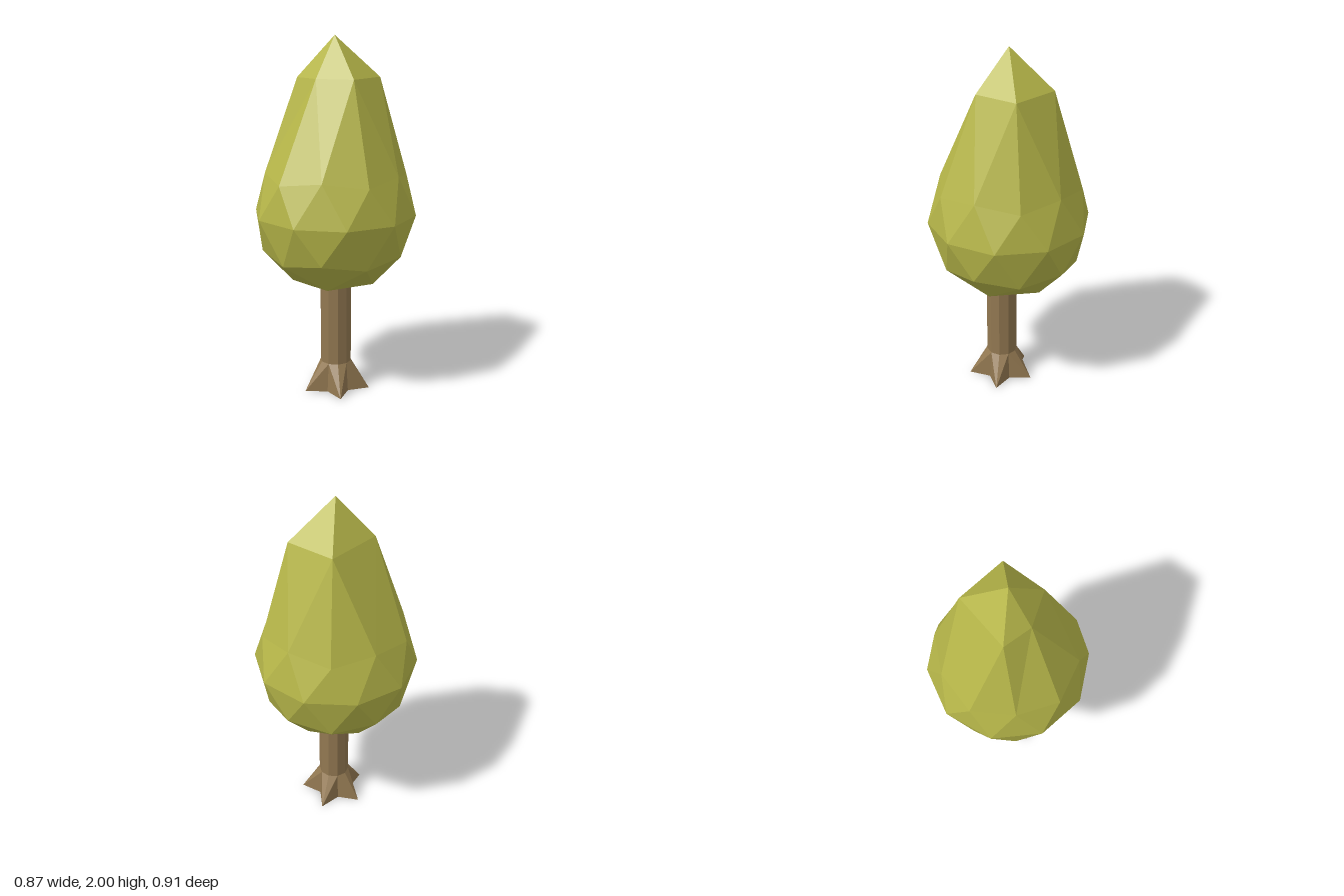
import * as THREE from 'three';

const v = (x, y, z) => new THREE.Vector3(x, y, z);
// Point on a ring around the y axis, counter-clockwise seen from above
const polar = (r, deg, y, z0 = 0) => {
  const a = THREE.MathUtils.degToRad(deg);
  return v(r * Math.cos(a), y, z0 - r * Math.sin(a));
};
const ring = (n, fn) => Array.from({ length: n }, (_, k) => fn(k));

function facetedMesh(name, triangles, color) {
  const geometry = new THREE.BufferGeometry().setFromPoints(triangles.flat());
  geometry.computeVertexNormals();
  const mesh = new THREE.Mesh(geometry, new THREE.MeshStandardMaterial({ color, flatShading: true }));
  mesh.name = name;
  return mesh;
}

// Pole cap of a subdivided icosahedron: pole, five inner points, ten rim points
function cap(pole, inner, rim, shift, flip) {
  const tris = [];
  for (let k = 0; k < 5; k++) {
    const p = inner[k], q = inner[(k + 1) % 5];
    const a = rim[(2 * k + shift) % 10], m = rim[(2 * k + 1 + shift) % 10], b = rim[(2 * k + 2 + shift) % 10];
    tris.push([pole, p, q], [p, m, q], [p, a, m], [q, m, b]);
  }
  return flip ? tris.map(([a, b, c]) => [a, c, b]) : tris;
}

// Pear-shaped crown with a slightly uneven tip
function createCrown() {
  const tip = [[0.25, 0], [0.075, -0.23], [-0.2, -0.045], [-0.115, 0.1], [0.075, 0.185]]
    .map(([x, z]) => v(x, 1.775, z));
  const upper = ring(10, k => (k % 2 ? polar(0.387, 36 * k, 1.26) : polar(0.407, 36 * k, 1.23)));
  const middle = ring(10, k => polar(0.455, 18 + 36 * k, 1.025));
  const lower = ring(10, k => (k % 2 ? polar(0.407, 36 * k, 0.82) : polar(0.387, 36 * k, 0.785)));
  const bottom = ring(5, k => polar(0.24, 36 + 72 * k, 0.64));

  const tris = [
    ...cap(v(0, 2, 0), tip, upper, 0, false),
    ...cap(v(0, 0.57, 0), bottom, lower, 1, true),
  ];
  // Zigzag bands above and below the widest ring
  for (let k = 0; k < 10; k++) {
    const n = (k + 1) % 10;
    tris.push([upper[k], middle[k], upper[n]], [middle[k], middle[n], upper[n]]);
    tris.push([lower[k], lower[n], middle[k]], [middle[k], lower[n], middle[n]]);
  }
  return facetedMesh('crown', tris, 0xb6b649);
}

// Ten-sided trunk that flares into a five-pointed root star
function createTrunk() {
  const z0 = 0.043;
  const section = (y, rTip, rGap) => ring(10, k => polar(k % 2 ? rGap : rTip, 36 * k - 90, y, z0));
  const sections = [section(0, 0.194, 0.1), section(0.163, 0.0875, 0.0875), section(0.63, 0.0875, 0.0875)];
  const tris = [];
  for (let k = 0; k < 10; k++) {
    const n = (k + 1) % 10;
    for (let s = 0; s < 2; s++) {
      const a = sections[s], b = sections[s + 1];
      // Split each quad along the diagonal that starts at the root tip
      if (k % 2) tris.push([a[k], a[n], b[k]], [a[n], b[n], b[k]]);
      else tris.push([a[k], a[n], b[n]], [a[k], b[n], b[k]]);
    }
    tris.push([v(0, 0, z0), sections[0][n], sections[0][k]]);
    tris.push([v(0, 0.63, z0), sections[2][k], sections[2][n]]);
  }
  return facetedMesh('trunk', tris, 0x927851);
}

export function createModel() {
  const tree = new THREE.Group();
  tree.name = 'tree';
  tree.add(createCrown(), createTrunk());
  return tree;
}
